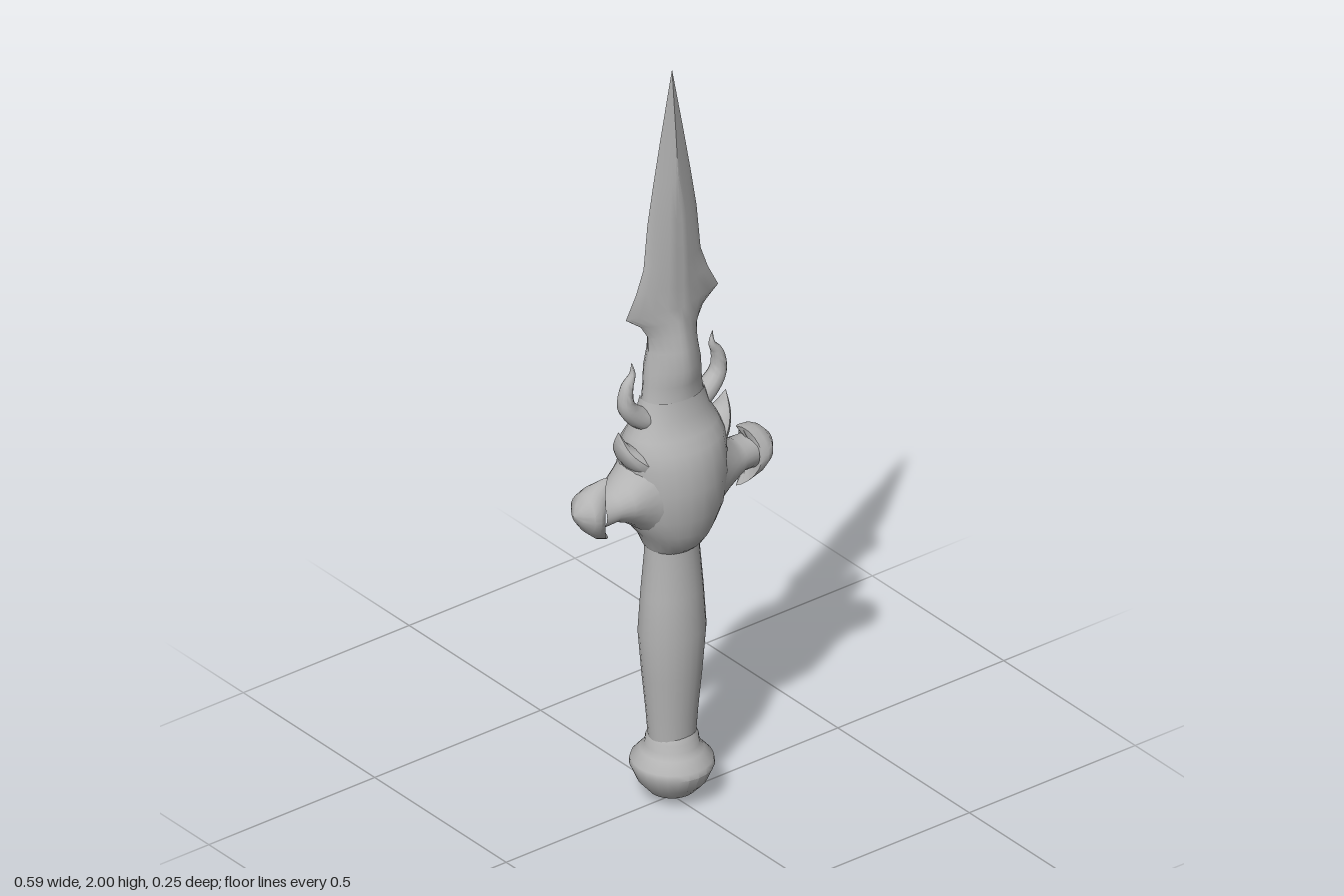
import * as THREE from 'three';
import { toCreasedNormals } from 'three/addons/utils/BufferGeometryUtils.js';

// Skin a surface through rings; point(ring, angle) returns [x, y, z].
function loft(rings, point, sides = 24, crease = 0.7) {
  const pos = [], idx = [];
  rings.forEach((r) => {
    for (let i = 0; i < sides; i++) pos.push(...point(r, (i / sides) * Math.PI * 2));
  });
  for (let r = 0; r < rings.length - 1; r++) {
    for (let i = 0; i < sides; i++) {
      const j = (i + 1) % sides;
      const a = r * sides + i, b = a + sides, c = b - i + j, d = r * sides + j;
      idx.push(a, b, c, a, c, d);
    }
  }
  const g = new THREE.BufferGeometry();
  g.setAttribute('position', new THREE.Float32BufferAttribute(pos, 3));
  g.setIndex(idx);
  return toCreasedNormals(g, crease);
}

// Signed power: 1 gives an ellipse, 2 a diamond, more a hollow-ground edge.
const spow = (v, e) => (Math.abs(v) < 1e-9 ? 0 : Math.sign(v) * Math.abs(v) ** e);

// Upright section: [y, halfWidth, halfDepth, exponent]
const upright = ([y, w, d, e = 1], a) => [w * spow(Math.cos(a), e), y, d * spow(Math.sin(a), e)];

// Sideways section: [x, centreY, halfHeight, halfDepth, sideShift, exponent]
const sideways = ([x, y, h, d, s = 0, e = 1], a) => [
  x + s * Math.abs(Math.sin(a)), y + h * spow(Math.cos(a), e), -d * spow(Math.sin(a), e)];

// Tapered horn along a curve in the xy plane
function horn(points, radius, depth, steps = 14) {
  const curve = new THREE.CatmullRomCurve3(points.map(([x, y]) => new THREE.Vector3(x, y, 0)));
  const rings = Array.from({ length: steps + 1 }, (_, i) => i / steps);
  return loft(rings, (t, a) => {
    const p = curve.getPoint(t), n = curve.getTangent(t);
    const k = 1 - t ** 1.4, c = Math.cos(a) * radius * k;
    return [p.x + n.y * c, p.y - n.x * c, Math.sin(a) * depth * k];
  }, 12);
}

export function createModel() {
  const group = new THREE.Group();
  const steel = new THREE.MeshStandardMaterial({ color: 0xb4b4b4 });
  steel.name = 'grey steel';
  const add = (name, geometry, parent = group) => {
    const mesh = new THREE.Mesh(geometry, steel);
    mesh.name = name;
    parent.add(mesh);
  };

  add('pommel', loft([
    [0.005, 0, 0], [0.012, 0.028, 0.028], [0.03, 0.058, 0.058], [0.06, 0.084, 0.086],
    [0.1, 0.101, 0.104], [0.115, 0.099, 0.1], [0.14, 0.076, 0.078], [0.155, 0.066, 0.066],
    [0.175, 0.064, 0.062], [0.19, 0.054, 0.052], [0.2, 0, 0],
  ], upright));

  add('grip', loft([
    [0.17, 0.06, 0.052], [0.25, 0.066, 0.058], [0.35, 0.076, 0.067], [0.47, 0.086, 0.075],
    [0.58, 0.079, 0.068], [0.68, 0.071, 0.059], [0.73, 0.07, 0.057],
  ], upright));

  add('guardHub', loft([
    [0.7, 0.066, 0.055], [0.715, 0.075, 0.072], [0.745, 0.085, 0.095], [0.77, 0.105, 0.103],
    [0.82, 0.125, 0.119], [0.9, 0.138, 0.124], [0.96, 0.138, 0.117], [1.0, 0.135, 0.105],
    [1.03, 0.123, 0.086], [1.07, 0.1, 0.067], [1.12, 0.085, 0.058],
  ], upright));

  // Blade: waisted neck, barbs, then a long tapering point
  add('blade', loft([
    [1.05, 0.1, 0.07, 1.1], [1.12, 0.085, 0.057, 1.15], [1.16, 0.081, 0.06, 1.2],
    [1.2, 0.079, 0.065, 1.25], [1.25, 0.071, 0.056, 1.3], [1.29, 0.073, 0.047, 1.4],
    [1.325, 0.094, 0.04, 1.6], [1.36, 0.139, 0.037, 2], [1.42, 0.108, 0.035, 1.8],
    [1.48, 0.086, 0.034, 1.6], [1.6, 0.074, 0.03, 1.6], [1.7, 0.057, 0.025, 1.8],
    [1.82, 0.035, 0.016, 2], [2, 0, 0, 2],
  ], upright, 24, 0.6));

  // Each side of the guard: arm, crescent knob, shoulder spike and flame horn
  for (const side of ['left', 'right']) {
    const half = new THREE.Group();
    half.name = side + 'Guard';
    half.rotation.y = side === 'left' ? 0 : Math.PI;
    add(side + 'Arm', loft([
      [0.02, 0.89, 0.16, 0.112], [0.07, 0.888, 0.138, 0.1], [0.1, 0.885, 0.112, 0.085],
      [0.13, 0.88, 0.082, 0.073], [0.16, 0.876, 0.055, 0.064], [0.19, 0.872, 0.04, 0.05],
      [0.23, 0.87, 0.044, 0.044],
    ], sideways), half);
    add(side + 'Knob', loft([
      [0.225, 0.87, 0.03, 0.03], [0.192, 0.867, 0.082, 0.046, 0.045, 1.25],
      [0.232, 0.871, 0.072, 0.052, 0.02, 1.2], [0.262, 0.876, 0.052, 0.048, 0.005, 1.1],
      [0.285, 0.879, 0.025, 0.024], [0.297, 0.88, 0, 0],
    ], sideways), half);
    add(side + 'ShoulderSpike', horn(
      [[0.08, 0.95], [0.125, 0.985], [0.15, 1.015], [0.162, 1.062]], 0.036, 0.07), half);
    add(side + 'FlameHorn', horn(
      [[0.06, 1.06], [0.105, 1.085], [0.138, 1.125], [0.136, 1.175], [0.12, 1.205], [0.122, 1.24]],
      0.03, 0.032, 20), half);
    group.add(half);
  }
  return group;
}
